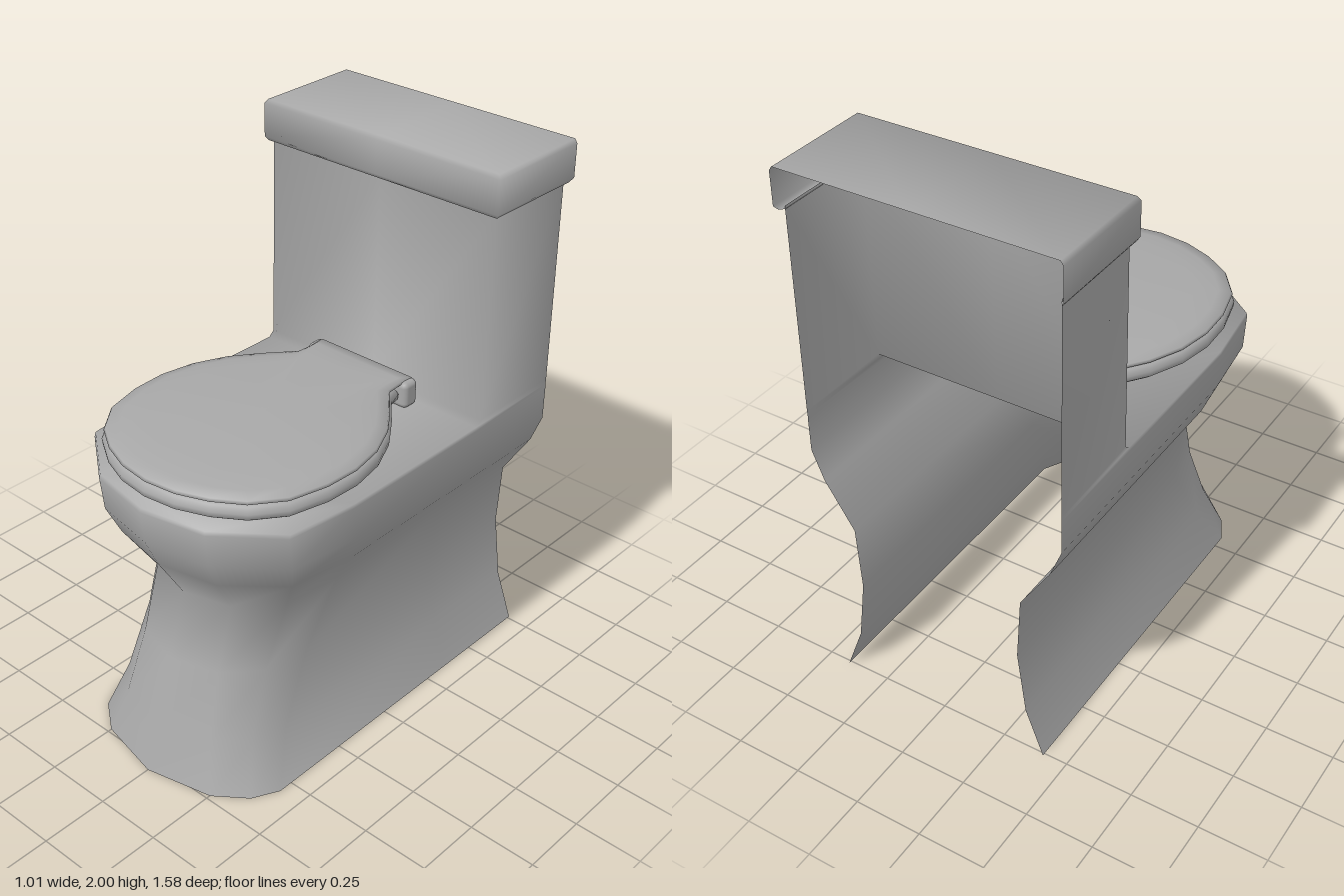
import * as THREE from 'three';
import { mergeGeometries, mergeVertices } from 'three/addons/utils/BufferGeometryUtils.js';
import { RoundedBoxGeometry } from 'three/addons/geometries/RoundedBoxGeometry.js';

const material = new THREE.MeshStandardMaterial({ color: 0xa8a8a8, side: THREE.DoubleSide });

// Skin between rows of [x, y, z] points, bottom row first
function loft(rows) {
  const n = rows[0].length, index = [];
  for (let r = 0; r < rows.length - 1; r++) {
    for (let i = 0; i < n - 1; i++) {
      const a = r * n + i, b = a + 1, c = a + n, d = c + 1;
      index.push(b, a, c, b, c, d);
    }
  }
  const g = new THREE.BufferGeometry();
  g.setAttribute('position', new THREE.Float32BufferAttribute(rows.flat(2), 3));
  g.setIndex(index);
  return g;
}

// Weld the skins and give every corner one soft normal, weighted by face angle
function smooth(...skins) {
  const g = mergeVertices(mergeGeometries(skins), 1e-4);
  const pos = g.getAttribute('position');
  const normals = Array.from({ length: pos.count }, () => new THREE.Vector3());
  for (let t = 0; t < g.index.count; t += 3) {
    const ids = [0, 1, 2].map((k) => g.index.getX(t + k));
    const p = ids.map((id) => new THREE.Vector3().fromBufferAttribute(pos, id));
    const face = p[1].clone().sub(p[0]).cross(p[2].clone().sub(p[0])).normalize();
    ids.forEach((id, k) => {
      const u = p[(k + 1) % 3].clone().sub(p[k]), v = p[(k + 2) % 3].clone().sub(p[k]);
      normals[id].addScaledVector(face, u.angleTo(v));
    });
  }
  g.setAttribute('normal', new THREE.Float32BufferAttribute(
    normals.flatMap((v) => v.normalize().toArray()), 3));
  return g;
}

// Mirror a half outline [x, z] running from the back to the front centre
const mirror = (half) => [...half, ...half.slice(0, -1).reverse().map(([x, z]) => [-x, z])];
const atHeight = (outline, y) => outline.map(([x, z]) => [x, y, z]);

// Half outline of the body: straight side, then a nose blending from foot to rim
const BACK = -0.76, DECK_BACK = -0.355;
const FOOT = [[1, 0.235], [0.88, 0.14], [0.61, 0.055], [0, 0]];
const RIM = [[1, 0.475], [0.93, 0.21], [0.5, 0.045], [0, 0]];
function bodyHalf(y, hw, front) {
  const t = Math.min(1, y / 0.94), mix = THREE.MathUtils.lerp;
  const nose = FOOT.map(([f, dz], i) => [hw * mix(f, RIM[i][0], t), front - mix(dz, RIM[i][1], t)]);
  return [[hw, BACK], [hw, DECK_BACK], ...nose];
}

// Three-sided outline of the tank and its lid
const tankOutline = (hw, front, back) => mirror([[hw, back], [hw, front], [0, front]]);

// Closed slab made of scaled copies [scale, y] of an outline
function slab(half, rows) {
  const loop = mirror(half);
  loop.push(loop[0]);
  const cz = 0.2;
  return smooth(loft(rows.map(([s, y]) => loop.map(([x, z]) => [x * s, y, cz + (z - cz) * s]))));
}

export function createModel() {
  const group = new THREE.Group();
  const add = (name, geometry) => {
    const mesh = new THREE.Mesh(geometry, material);
    mesh.name = name;
    group.add(mesh);
    return mesh;
  };

  // Flared pedestal and bowl, open at the back: [y, half width, front z]
  const profile = [
    [0, 0.412, 0.79], [0.18, 0.345, 0.735], [0.42, 0.315, 0.66], [0.66, 0.33, 0.585],
    [0.83, 0.44, 0.69], [0.94, 0.484, 0.74], [1.065, 0.485, 0.755], [1.08, 0.484, 0.75],
  ];
  const pedestal = loft(profile.map((row) => atHeight(mirror(bodyHalf(...row)), row[0])));

  // Flat deck on top of the bowl
  const rim = mirror([[0, DECK_BACK], ...bodyHalf(...profile[profile.length - 1]).slice(1)]).slice(0, -1);
  const deck = new THREE.ShapeGeometry(new THREE.Shape(rim.map(([x, z]) => new THREE.Vector2(x, -z))));
  deck.rotateX(-Math.PI / 2).translate(0, 1.08, 0);
  deck.deleteAttribute('normal');
  deck.deleteAttribute('uv');

  // Tank walls with a small fillet at the deck
  const tank = loft([[1.08, 0.484, DECK_BACK], [1.1, 0.485, -0.378], [1.86, 0.485, -0.39]]
    .map(([y, hw, f]) => atHeight(tankOutline(hw, f, BACK), y)));
  add('bodyAndTank', smooth(pedestal, deck, tank));

  // Tank lid, open at the back
  const lid = [
    [1.85, 0.483, -0.39, -0.76], [1.85, 0.497, -0.375, -0.775], [1.865, 0.507, -0.366, -0.787],
    [1.985, 0.507, -0.366, -0.787], [2, 0.497, -0.374, -0.787],
  ].map(([y, hw, f, b]) => atHeight(tankOutline(hw, f, b), y));
  lid.push(lid[lid.length - 1].map(([, y, z]) => [0, y, z]));
  add('tankLid', smooth(loft(lid)));

  // Seat and cover share the rounded part of their outline
  const round = [
    [0.21, -0.22], [0.3, -0.115], [0.37, -0.02], [0.425, 0.1], [0.45, 0.23], [0.445, 0.36],
    [0.41, 0.5], [0.33, 0.605], [0.23, 0.67], [0.12, 0.712], [0, 0.727],
  ];
  add('seat', slab([[0, -0.27], [0.2, -0.27], ...round],
    [[0, 1.1], [0.97, 1.1], [1.01, 1.115], [1.015, 1.135], [0.99, 1.155], [0.95, 1.16], [0, 1.16]]));
  add('seatCover', slab([[0, -0.345], [0.21, -0.345], [0.205, -0.28], ...round],
    [[0, 1.163], [0.97, 1.163], [1, 1.168], [0.99, 1.178], [0.9, 1.187], [0.74, 1.199], [0, 1.2]]));

  // Hinge bar behind the seat
  add('hinge', new RoundedBoxGeometry(0.46, 0.1, 0.07, 2, 0.02)).position.set(0, 1.126, -0.317);

  return group;
}
